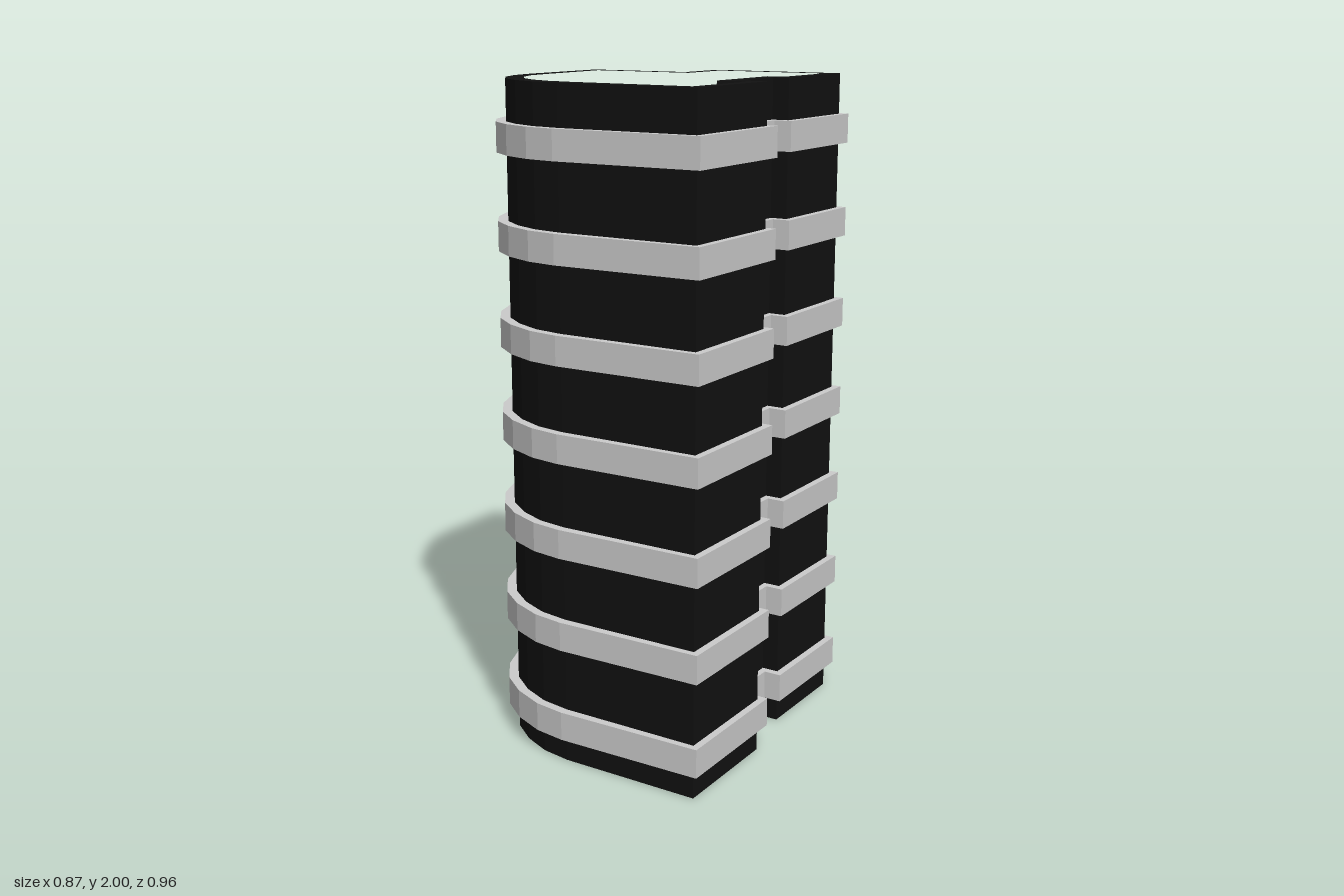
import * as THREE from 'three';

// Plan outlines as [x, z] corners
const wallPlan = [
  [-0.07, -0.46], [0.365, -0.46], [0.365, -0.135], [0.313, -0.135], [0.313, 0.08], [0.414, 0.08],
  [0.414, 0.45], [-0.03, 0.45], [-0.125, 0.435], [-0.215, 0.396], [-0.295, 0.338], [-0.355, 0.258],
  [-0.394, 0.168], [-0.408, 0.065], [-0.408, -0.272], [-0.07, -0.272],
];
const roofPlan = [
  [-0.035, -0.42], [0.328, -0.42], [0.328, -0.173], [0.274, -0.173], [0.274, 0.118], [0.375, 0.118],
  [0.375, 0.41], [-0.03, 0.395], [-0.11, 0.383], [-0.19, 0.35], [-0.257, 0.3], [-0.31, 0.23],
  [-0.343, 0.155], [-0.355, 0.06], [-0.37, -0.233], [-0.035, -0.233],
];
const bandPlan = [
  [-0.093, -0.48], [0.387, -0.48], [0.387, -0.112], [0.333, -0.112], [0.333, 0.058], [0.436, 0.058],
  [0.436, 0.47], [-0.03, 0.478], [-0.13, 0.463], [-0.232, 0.42], [-0.317, 0.358], [-0.383, 0.27],
  [-0.422, 0.175], [-0.437, 0.065], [-0.43, -0.292], [-0.093, -0.292],
];

const HEIGHT = 2;
const ROOF_Y = 1.93;

// Raises a plan from y0 to y1, optionally cut out by a second plan
function storey(name, plan, y0, y1, material, holePlan) {
  const toPoints = (p) => p.map(([x, z]) => new THREE.Vector2(x, -z));
  const shape = new THREE.Shape(toPoints(plan));
  if (holePlan) shape.holes.push(new THREE.Path(toPoints(holePlan)));
  const geometry = new THREE.ExtrudeGeometry(shape, { depth: y1 - y0, bevelEnabled: false });
  geometry.rotateX(-Math.PI / 2);
  geometry.translate(0, y0, 0);
  const mesh = new THREE.Mesh(geometry, material);
  mesh.name = name;
  return mesh;
}

export function createModel() {
  const dark = new THREE.MeshStandardMaterial({ color: 0x111111 });
  const roofGrey = new THREE.MeshStandardMaterial({ color: 0xa0a0a0 });
  const grey = new THREE.MeshStandardMaterial({ color: 0xcccccc });

  const tower = new THREE.Group();
  tower.name = 'towerBlock';

  // Dark glazed body, parapet and sunken roof
  tower.add(storey('body', wallPlan, 0, ROOF_Y - 0.01, dark));
  tower.add(storey('parapet', wallPlan, ROOF_Y - 0.01, HEIGHT, dark, roofPlan));
  tower.add(storey('roof', roofPlan, ROOF_Y - 0.01, ROOF_Y, roofGrey));

  // Projecting bands, one per floor
  const bands = new THREE.Group();
  bands.name = 'floorBands';
  for (let i = 0; i < 7; i++) {
    const y = 0.077 + i * 0.2857;
    bands.add(storey(`floorBand${i + 1}`, bandPlan, y, y + 0.088, grey, wallPlan));
  }
  tower.add(bands);
  return tower;
}
